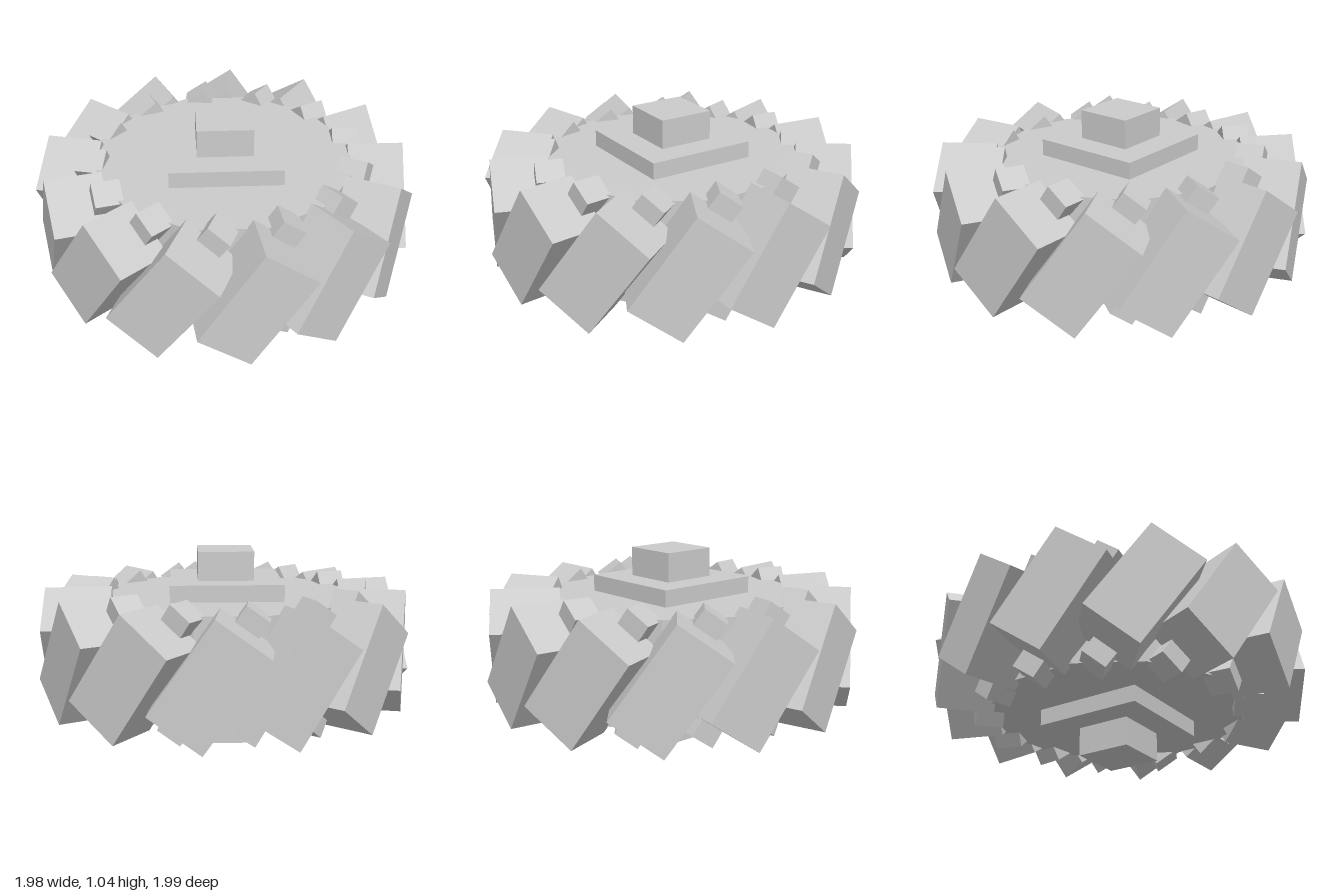
import * as THREE from 'three';

const TEETH = 13;
const TILT = -THREE.MathUtils.degToRad(35);
const MID = 0.52; // mid height of the wheel

export function createModel() {
  const group = new THREE.Group();
  const mat = new THREE.MeshStandardMaterial({ color: 0xcccccc, flatShading: true });

  const add = (parent, name, geo, x = 0, y = 0, z = 0) => {
    const mesh = new THREE.Mesh(geo, mat);
    mesh.name = name;
    mesh.position.set(x, y, z);
    parent.add(mesh);
    return mesh;
  };

  // Whole wheel, nudged so the odd number of teeth is centred
  const wheel = new THREE.Group();
  wheel.name = 'wheel';
  wheel.position.set(0.007, MID, -0.007);
  group.add(wheel);

  // Twelve-sided core with flats facing the axes
  const core = add(wheel, 'core', new THREE.CylinderGeometry(0.69, 0.69, 0.56, 12));
  core.rotation.y = Math.PI / 12;

  // Square hub plate and axle running through the core
  add(wheel, 'hubPlate', new THREE.BoxGeometry(0.586, 0.735, 0.586));
  add(wheel, 'axle', new THREE.BoxGeometry(0.293, 1.04, 0.293));

  // Slanted teeth, each with a narrow bar poking out at both ends
  const toothGeo = new THREE.BoxGeometry(0.295, 0.56, 0.32);
  const barGeo = new THREE.BoxGeometry(0.145, 0.75, 0.136);
  for (let i = 0; i < TEETH; i++) {
    const unit = new THREE.Group();
    unit.name = 'toothUnit';
    unit.rotation.y = (i / TEETH) * Math.PI * 2;
    add(unit, 'tooth', toothGeo, 0.808).rotation.x = TILT;
    add(unit, 'toothBar', barGeo, 0.666).rotation.x = TILT;
    wheel.add(unit);
  }

  return group;
}
